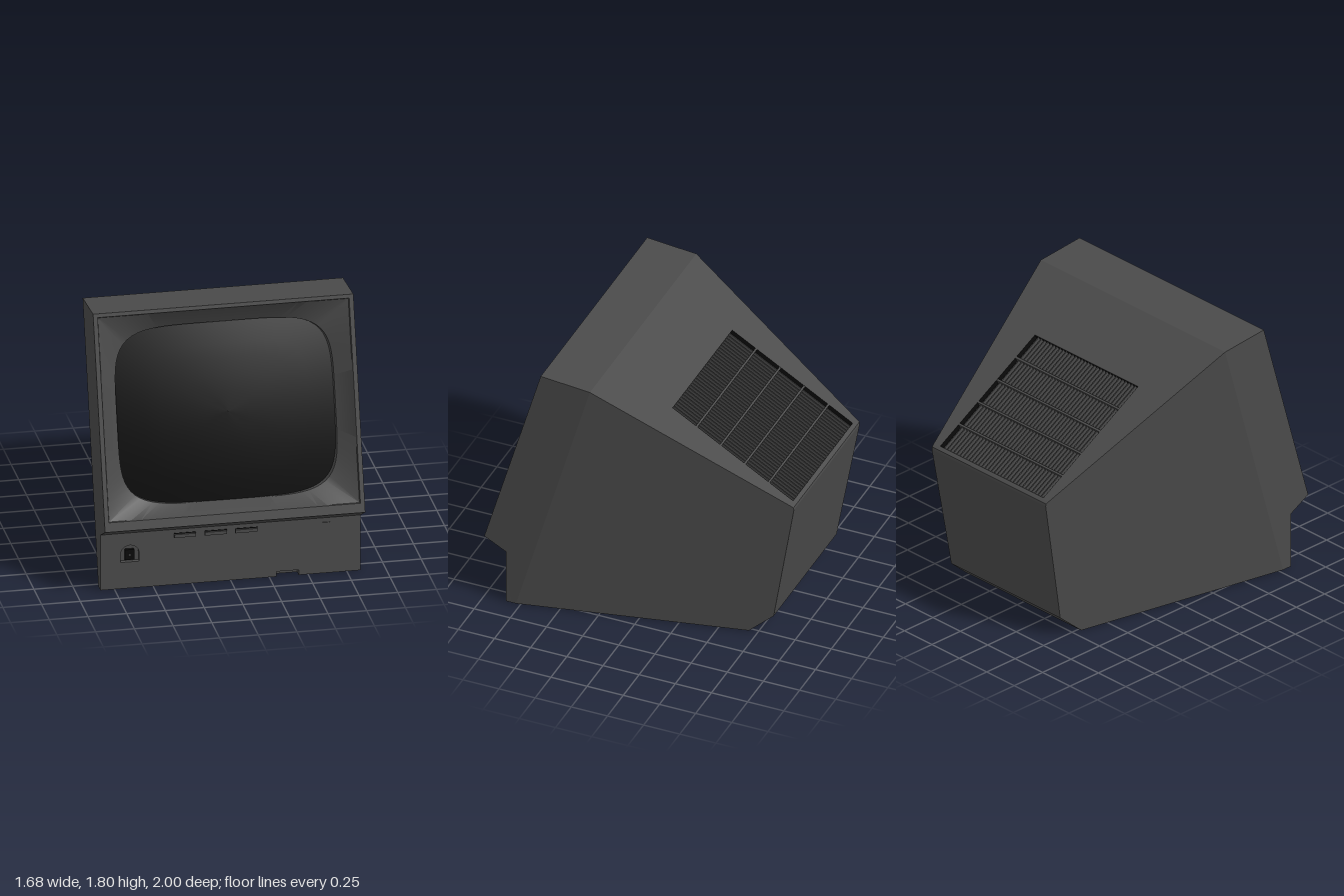
import * as THREE from 'three';
import { toCreasedNormals } from 'three/addons/utils/BufferGeometryUtils.js';

export function createModel() {
  const model = new THREE.Group();
  model.name = 'computerTerminal';

  const paint = (name, color) => {
    const m = new THREE.MeshStandardMaterial({ color, side: THREE.DoubleSide });
    m.name = name;
    return m;
  };
  const casing = paint('darkGreyCasing', 0x4a4a4a);
  const glass = paint('blackGlass', 0x0d0d0d);
  const black = paint('blackRecess', 0x0a0a0a);

  const add = (name, geo, mat, parent = model) => {
    const mesh = new THREE.Mesh(geo, mat);
    mesh.name = name;
    parent.add(mesh);
    return mesh;
  };
  const box = (name, w, h, d, x, y, z, mat, parent = model) =>
    add(name, new THREE.BoxGeometry(w, h, d), mat, parent).position.set(x, y, z);
  const vec = (pts) => pts.map(([a, b]) => new THREE.Vector2(a, b));

  // Flat sheet from a 2D outline, each vertex placed by a rule
  const sheet = (pts, holes, rule) => {
    const shape = new THREE.Shape(vec(pts));
    holes.forEach((h) => shape.holes.push(new THREE.Path(vec(h))));
    const geo = new THREE.ShapeGeometry(shape);
    const p = geo.attributes.position;
    for (let i = 0; i < p.count; i++) p.setXYZ(i, ...rule(p.getX(i), p.getY(i)));
    geo.computeVertexNormals();
    return geo;
  };

  // Surface joining closed loops of equal point count
  const skin = (loops) => {
    const n = loops[0].length, index = [];
    for (let r = 0; r < loops.length - 1; r++) {
      for (let i = 0; i < n; i++) {
        const a = r * n + i, b = r * n + ((i + 1) % n);
        index.push(a, b, b + n, a, b + n, a + n);
      }
    }
    const geo = new THREE.BufferGeometry();
    geo.setAttribute('position', new THREE.Float32BufferAttribute(loops.flat(2), 3));
    geo.setIndex(index);
    geo.computeVertexNormals();
    return geo;
  };

  // Pocket walls and floor sunk behind an outline in the xy plane
  const pocket = (name, pts, z, depth, mat, parent = model) => {
    const walls = skin([pts.map(([x, y]) => [x, y, z]), pts.map(([x, y]) => [x, y, z - depth])]);
    add(name + 'Walls', toCreasedNormals(walls, 0.6), mat, parent);
    add(name + 'Floor', sheet(pts, [], (x, y) => [x, y, z - depth]), mat, parent);
  };
  const rect = (x0, x1, y0, y1) => [[x0, y0], [x1, y0], [x1, y1], [x0, y1]];

  // Half width: constant in front of the slanted crease, tapering behind it
  const halfWidth = (z, y) =>
    0.84 - 0.2245 * Math.max(0, -0.961 * (z - 0.27) - 0.277 * (y - 1.77));

  // Side profile points as [z, y]
  const brow = [0.61, 1.80], crown = [0.27, 1.77], chin = [1.0, 0.46], neck = [0.85, 0.38];
  const toe = [0.85, 0], crease = [0.78, 0], heel = [-0.69, 0], rump = [-0.85, 0.14];
  const back = [[-0.98, 1.0417], [-0.997, 1.03], [-1.0, 1.013]];

  // Sides
  for (const s of [1, -1]) {
    const place = (z, y) => [s * halfWidth(z, y), y, z];
    const side = s > 0 ? 'left' : 'right';
    add(side + 'FrontSide', sheet([brow, crown, crease, toe, neck, chin], [], place), casing);
    add(side + 'TaperedSide', sheet([crown, ...back, rump, heel, crease], [], place), casing);
  }

  // Strips running across the body
  const strip = (name, a, b) => {
    const w0 = halfWidth(...a), w1 = halfWidth(...b);
    const at = (x, t) => [x, a[1] + (b[1] - a[1]) * t, a[0] + (b[0] - a[0]) * t];
    add(name, sheet([[w0, 0], [-w0, 0], [-w1, 1], [w1, 1]], [], at), casing);
  };
  strip('topPanel', brow, crown);
  strip('backTopEdge', back[0], back[1]);
  strip('backUpperEdge', back[1], back[2]);
  strip('backPanel', back[2], rump);
  strip('backLowerBevel', rump, heel);
  strip('underLip', neck, chin);

  // Underside with a finger notch in its front edge
  const nx0 = 0.295, nx1 = 0.44, nh = 0.035, nd = 0.05;
  const hw = halfWidth(...heel);
  add('underside', sheet([
    [-0.84, 0.85], [-0.84, 0.78], [-hw, -0.69], [hw, -0.69], [0.84, 0.78], [0.84, 0.85],
    [nx1, 0.85], [nx1, 0.85 - nd], [nx0, 0.85 - nd], [nx0, 0.85],
  ], [], (x, z) => [x, 0, z]), casing);
  const notchEdge = [[nx0, 0], [nx0, nh], [nx1, nh], [nx1, 0]];
  add('notchFloor', sheet(notchEdge, [], (x, y) => [x, y, 0.85 - nd]), casing);
  add('notchRoof', sheet(rect(nx0, nx1, 0.85 - nd, 0.85), [], (x, z) => [x, nh, z]), casing);
  for (const x of [nx0, nx1])
    add('notchWall', sheet(rect(0, nh, 0.85 - nd, 0.85), [], (y, z) => [x, y, z]), casing);

  // Front base panel with arched socket recess
  const arch = [[-0.71, 0.18], [-0.59, 0.18]];
  for (let i = 0; i <= 12; i++) {
    const t = (i / 12) * Math.PI;
    arch.push([-0.65 + 0.06 * Math.cos(t), 0.235 + 0.06 * Math.sin(t)]);
  }
  add('basePanel', sheet(
    [[-0.84, 0], ...notchEdge, [0.84, 0], [0.84, 0.38], [-0.84, 0.38]], [arch],
    (x, y) => [x, y, 0.85]), casing);
  pocket('socketRecess', arch, 0.85, 0.03, casing);
  box('socket', 0.06, 0.07, 0.02, -0.65, 0.225, 0.83, black);
  box('socketPin', 0.012, 0.012, 0.006, -0.65, 0.225, 0.842, casing);

  // Buttons and indicator
  for (const x of [-0.295, -0.097, 0.1]) {
    box('button', 0.14, 0.022, 0.032, x, 0.338, 0.85, casing);
    box('buttonGap', 0.144, 0.032, 0.006, x, 0.338, 0.85, black);
  }
  box('indicator', 0.052, 0.025, 0.012, 0.615, 0.337, 0.85, casing);

  // Tilted front: y runs up the slope, z points out of it
  const front = new THREE.Group();
  front.name = 'screenFront';
  front.position.set(0, chin[1], chin[0]);
  front.rotation.x = -Math.atan2(0.39, 1.34);
  model.add(front);
  const N = 128;
  const loop = (cy, rx, ry, power, depth) => Array.from({ length: N }, (_, i) => {
    const t = (i / N) * Math.PI * 2, c = Math.cos(t), s = Math.sin(t);
    const a = Math.abs(c), b = Math.abs(s);
    const k = power ? 1 / Math.pow(a ** power + b ** power, 1 / power) : 1 / Math.max(a, b);
    const x = rx * k * c, y = cy + ry * k * s;
    return [x, y, -depth(x, y)];
  });
  const bulge = (x, y) => 0.05 + 0.08 * (x / 0.705) ** 2 + 0.06 * ((y - 0.7055) / 0.57) ** 2;
  const flat = (d) => () => d;
  const opening = (scale, depth) => loop(0.7055, 0.705 * scale, 0.5705 * scale, 5, depth);
  add('bezel', toCreasedNormals(skin([
    loop(0.698, 0.84, 0.698, 0, flat(0)),
    loop(0.716, 0.812, 0.656, 0, flat(0)),
    loop(0.716, 0.808, 0.652, 0, flat(0.014)),
    opening(1, flat(0.1)),
    opening(0.995, (x, y) => Math.max(0.102, bulge(x, y) + 0.01)),
  ]), 0.6), casing, front);
  add('screen', skin([0.998, 0.9, 0.75, 0.6, 0.4, 0.2, 0.001].map((s) => opening(s, bulge))),
    glass, front);

  // Sloping rear top: y runs down the slope, z points out of it
  const slope = new THREE.Group();
  slope.name = 'rearSlope';
  slope.position.set(0, crown[1], crown[0]);
  slope.rotation.x = Math.atan2(back[0][1] - crown[1], back[0][0] - crown[0]) + 0;
  {
    const dy = back[0][1] - crown[1], dz = back[0][0] - crown[0];
    slope.rotation.x = Math.atan2(dz, dy);
  }
  model.add(slope);
  const len = Math.hypot(back[0][0] - crown[0], back[0][1] - crown[1]);
  const wEnd = halfWidth(...back[0]);
  const vent = { w: 0.47, y0: 0.475, y1: 1.438, depth: 0.035 };
  const ventHole = rect(-vent.w, vent.w, vent.y0, vent.y1);
  add('slopePanel', sheet([[-0.84, 0], [0.84, 0], [wEnd, len], [-wEnd, len]], [ventHole],
    (x, y) => [x, y, 0]), casing, slope);
  pocket('vent', ventHole, 0, vent.depth, black, slope);

  // Vent slats and cross bars
  const ventLength = vent.y1 - vent.y0, mid = (vent.y0 + vent.y1) / 2, slots = 33;
  for (let i = 1; i < slots; i++)
    box('ventSlat', 0.007, ventLength, 0.025, -vent.w + (2 * vent.w * i) / slots, mid, -0.02, casing, slope);
  for (let i = 1; i < 5; i++)
    box('ventCrossBar', 2 * vent.w, 0.014, 0.034, 0, vent.y0 + (ventLength * i) / 5, -0.0175, casing, slope);

  return model;
}
